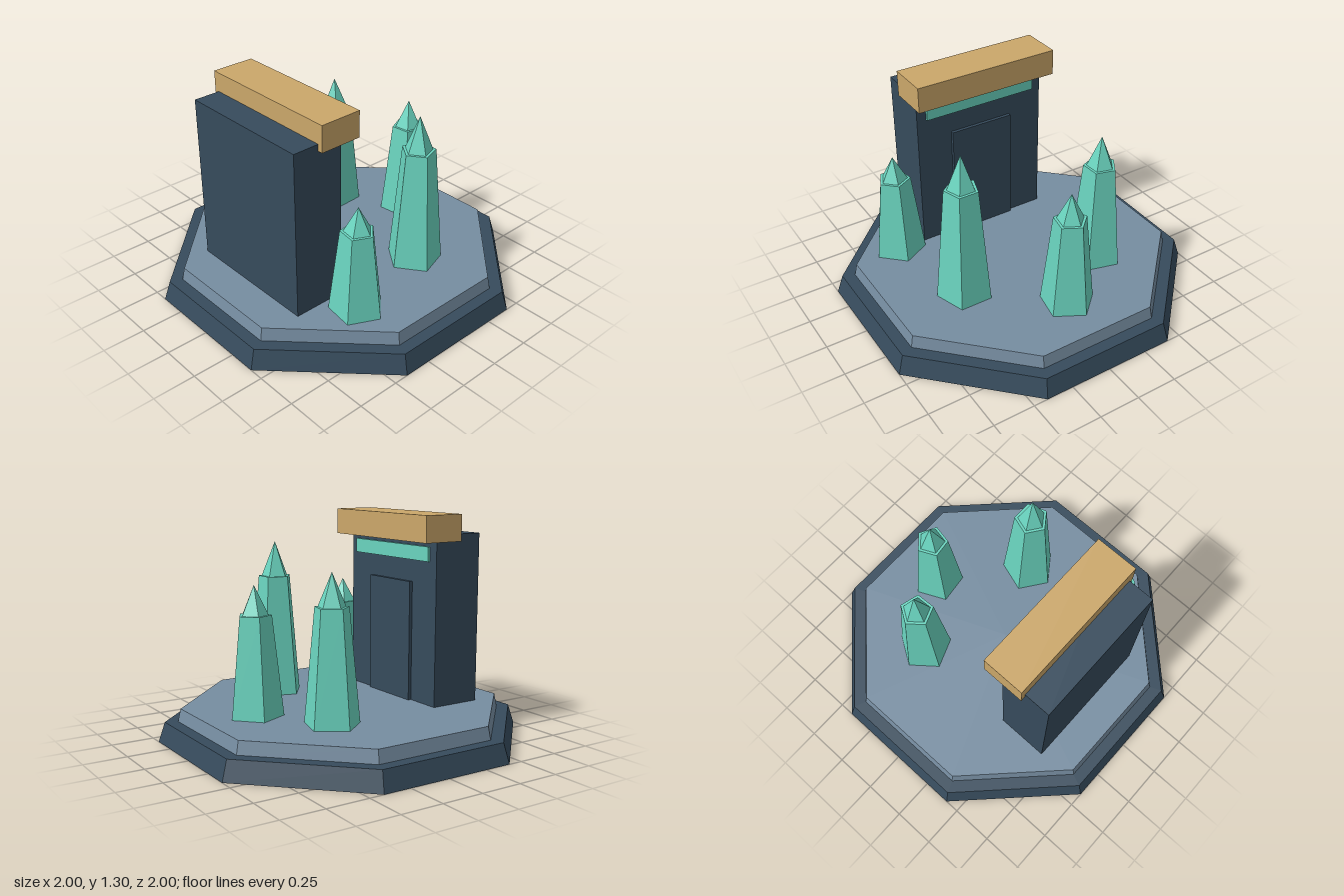
import * as THREE from 'three';

const flat = (name, color) => {
  const m = new THREE.MeshStandardMaterial({ color });
  m.name = name;
  return m;
};

export function createModel() {
  const darkSlate = flat('dark slate', 0x364b5c);
  const paleSlate = flat('pale slate', 0x768da1);
  const gold = flat('gold', 0xcba76a);
  const teal = flat('teal crystal', 0x6ad4bf);

  const model = new THREE.Group();
  model.name = 'crystalShrine';

  const add = (parent, name, geometry, material, x, y, z) => {
    const mesh = new THREE.Mesh(geometry, material);
    mesh.name = name;
    mesh.position.set(x, y, z);
    parent.add(mesh);
    return mesh;
  };

  // Box given by its minimum and maximum corners
  const box = (name, material, [x0, y0, z0], [x1, y1, z1]) =>
    add(model, name, new THREE.BoxGeometry(x1 - x0, y1 - y0, z1 - z0), material,
      (x0 + x1) / 2, (y0 + y1) / 2, (z0 + z1) / 2);

  // Faceted tapering prism standing at height y
  const prism = (rTop, rBottom, height, sides, start) =>
    new THREE.CylinderGeometry(rTop, rBottom, height, sides, 1, false, start)
      .toNonIndexed();
  const faceted = (geometry) => {
    geometry.computeVertexNormals();
    return geometry;
  };

  // Octagonal plinth: sizes are half-widths across the flats
  const octagon = (name, material, top, bottom, y0, y1) => {
    const k = 1 / Math.cos(Math.PI / 8);
    add(model, name, faceted(prism(top * k, bottom * k, y1 - y0, 8, Math.PI / 8)),
      material, 0, (y0 + y1) / 2, 0);
  };
  octagon('plinthBase', darkSlate, 0.965, 1, 0, 0.115);
  octagon('plinthFloor', paleSlate, 0.88, 0.895, 0.115, 0.19);

  // Monolith with a doorway, glowing strip and lintel facing the back
  box('monolith', darkSlate, [-0.42, 0.19, 0.36], [0.42, 1.19, 0.675]);
  box('doorPanel', darkSlate, [-0.2, 0.19, 0.34], [0.2, 0.905, 0.36]);
  box('glowStrip', teal, [-0.36, 1.035, 0.345], [0.36, 1.12, 0.36]);
  box('lintel', gold, [-0.45, 1.15, 0.26], [0.45, 1.305, 0.515]);

  // Five-sided crystals: x, z, height, base radius, turn in degrees
  const crystals = [
    [0.0, -0.583, 0.74, 0.16, -7],
    [-0.39, -0.323, 0.835, 0.162, -21],
    [0.45, -0.196, 0.93, 0.165, 36],
    [0.58, 0.385, 0.65, 0.159, 8],
  ];
  crystals.forEach(([x, z, height, r, turn], i) => {
    const crystal = new THREE.Group();
    crystal.name = `crystal${i + 1}`;
    crystal.position.set(x, 0.19, z);
    const start = Math.PI - THREE.MathUtils.degToRad(turn);
    const shaft = height * 0.775;
    const tip = height - shaft;
    add(crystal, 'crystalShaft', faceted(prism(r * 0.61, r, shaft, 5, start)),
      teal, 0, shaft / 2, 0);
    add(crystal, 'crystalTip', faceted(prism(0, r * 0.5, tip, 5, start)),
      teal, 0, shaft + tip / 2, 0);
    model.add(crystal);
  });

  return model;
}
